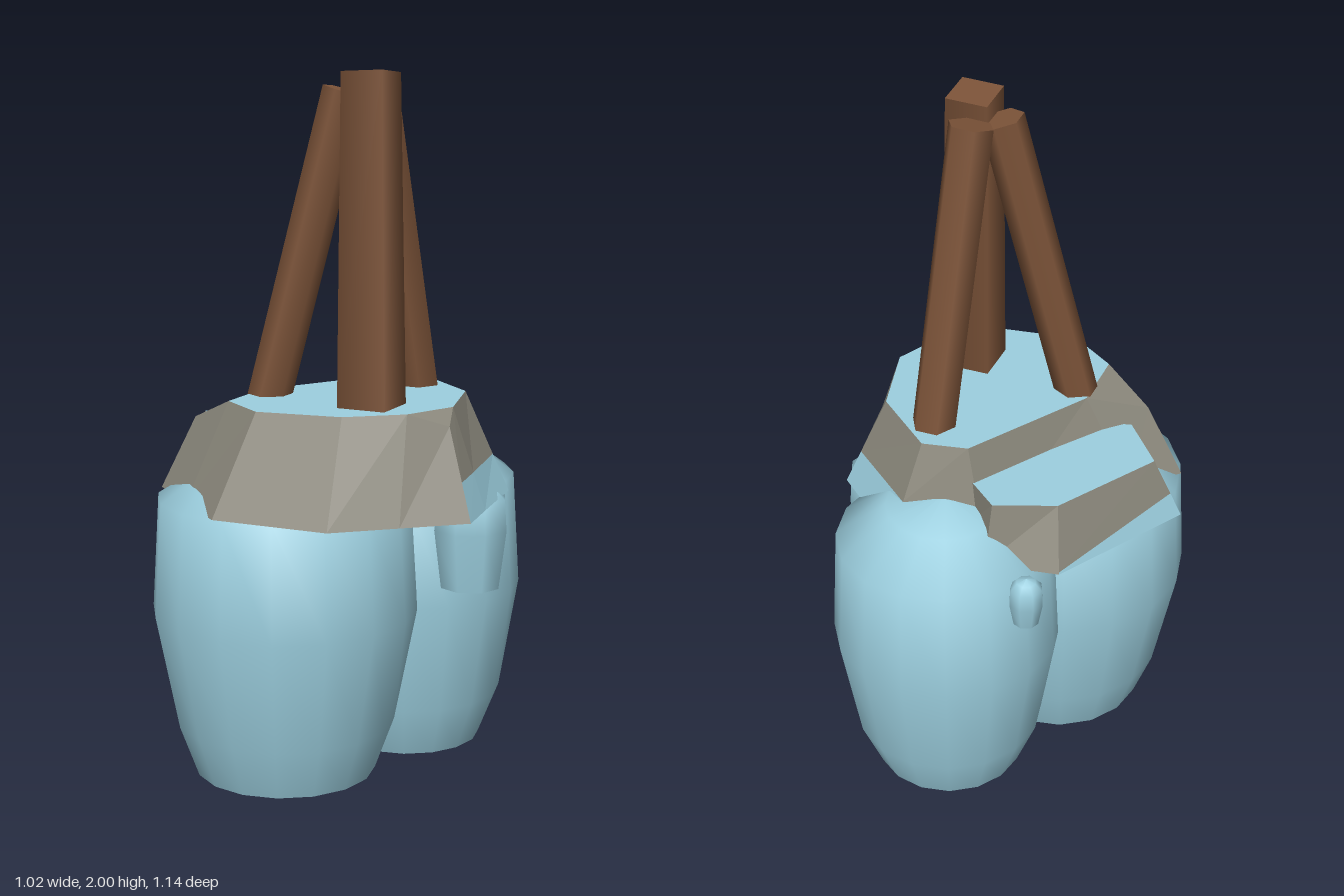
import * as THREE from 'three';

const mat = (name, color, side = THREE.DoubleSide) => {
  const m = new THREE.MeshStandardMaterial({ color, side });
  m.name = name;
  return m;
};

export function createModel() {
  const model = new THREE.Group();
  const water = mat('water blue', 0x9dd0e0);
  const stone = mat('stone grey', 0x8c897d);
  const wood = mat('wood brown', 0x7d5439);

  const add = (name, geometry, material) => {
    const mesh = new THREE.Mesh(geometry, material);
    mesh.name = name;
    model.add(mesh);
    return mesh;
  };

  // Smooth rounded column, open underneath; profile is [radius, height]
  const column = (name, x, z, profile, sides) => {
    const pts = profile.map(([r, y]) => new THREE.Vector2(r, y));
    add(name, new THREE.LatheGeometry(pts, sides), water).position.set(x, 0, z);
  };
  column('frontColumn', -0.1, 0.19,
    [[0.26, 0], [0.315, 0.15], [0.38, 0.48], [0.36, 0.81], [0.2, 0.91], [0, 0.95]], 16);
  column('backColumn', 0.09, -0.24,
    [[0.22, 0], [0.28, 0.15], [0.335, 0.48], [0.315, 0.81], [0.17, 0.915], [0, 0.95]], 16);
  column('sideDroplet', 0.385, -0.02,
    [[0.088, 0.55], [0.11, 0.72], [0.104, 0.81], [0.06, 0.85], [0, 0.86]], 8);
  column('backDroplet', -0.213, -0.385,
    [[0.037, 0.69], [0.05, 0.76], [0.047, 0.81], [0.028, 0.83], [0, 0.84]], 8);

  // Faceted mesh from a list of triangles
  const facets = (name, tris, material) => {
    const g = new THREE.BufferGeometry().setFromPoints(tris);
    g.computeVertexNormals();
    add(name, g, material);
  };

  // Stone basin between two rings. bands: segment -> water share of the wall at
  // its two ends; corners: ring points that stay stone on the upper face
  const basin = (name, low, top, bands, corners) => {
    const L = low.map(([x, z]) => new THREE.Vector3(x, 0.815, z));
    const T = top.map(([x, y, z]) => new THREE.Vector3(x, y, z));
    const n = L.length, rock = [], wet = [];
    const quad = (list, a, b, c, d) => list.push(a, b, c, a, c, d);
    const centre = (ring) => ring
      .reduce((s, p) => s.add(p), new THREE.Vector3()).divideScalar(ring.length);
    const surface = T.filter((p, i) => !corners.includes(i));
    const under = centre(L), over = centre(surface);
    for (let i = 0; i < n; i++) {
      const j = (i + 1) % n;
      const [a, b] = bands[i] || [0, 0];
      const p = L[i].clone().lerp(T[i], a), q = L[j].clone().lerp(T[j], b);
      if (a + b > 0) quad(wet, L[i], L[j], q, p);
      quad(rock, p, q, T[j], T[i]);
      rock.push(under, L[j], L[i]);
    }
    surface.forEach((p, i) => wet.push(over, p, surface[(i + 1) % surface.length]));
    corners.forEach((i) => rock.push(T[(i + n - 1) % n], T[i], T[(i + 1) % n]));
    facets(name + 'Stone', rock, stone);
    facets(name + 'Water', wet, water);
  };

  basin('upperBasin',
    [[-0.33, 0.16], [-0.45, 0.28], [-0.29, 0.415], [-0.13, 0.55], [0.21, 0.54],
      [0.36, 0.41], [0.51, 0.28], [0.49, 0.13], [0.46, -0.12], [0.22, -0.33], [-0.04, -0.26]],
    [[-0.19, 1.1, 0.15], [-0.34, 1.03, 0.27], [-0.19, 1.1, 0.345], [-0.05, 1.1, 0.445],
      [0.19, 1.1, 0.41], [0.33, 1.1, 0.3], [0.42, 1.06, 0.22], [0.4, 1.1, 0.15],
      [0.34, 1.1, -0.08], [0.16, 1.1, -0.235], [0.03, 1.1, -0.21]],
    { 6: [0.42, 0.37], 7: [0.37, 0.37], 8: [0.37, 0.39], 9: [0.39, 0.3] }, [1, 6]);

  basin('lowerBasin',
    [[-0.51, 0.085], [-0.33, 0.215], [-0.25, 0.2], [0.05, -0.2], [-0.07, -0.34], [-0.28, -0.305]],
    [[-0.43, 1, 0.06], [-0.31, 1, 0.21], [-0.22, 1, 0.18], [0.02, 1, -0.22],
      [-0.08, 1, -0.305], [-0.25, 1, -0.24]],
    { 5: [0.03, 0.4] }, []);

  // Three leaning logs meeting near the top
  const log = (name, from, to, rTop, rBase, sides, twist) => {
    const a = new THREE.Vector3(...from), b = new THREE.Vector3(...to);
    const dir = b.clone().sub(a);
    const g = new THREE.CylinderGeometry(rTop, rBase, dir.length(), sides);
    g.rotateY(twist);
    const mesh = add(name, g, wood);
    mesh.position.copy(a).add(b).multiplyScalar(0.5);
    mesh.quaternion.setFromUnitVectors(new THREE.Vector3(0, 1, 0), dir.normalize());
  };
  log('frontLog', [0.195, 1.08, 0.235], [0.155, 1.996, 0.16], 0.086, 0.1, 4, Math.PI / 4);
  log('rightLog', [-0.145, 1.08, 0.195], [0.065, 1.945, 0.135], 0.062, 0.062, 6, 0);
  log('backLog', [0.17, 1.08, -0.13], [0.12, 1.955, 0.05], 0.065, 0.065, 6, Math.PI / 6);

  return model;
}
